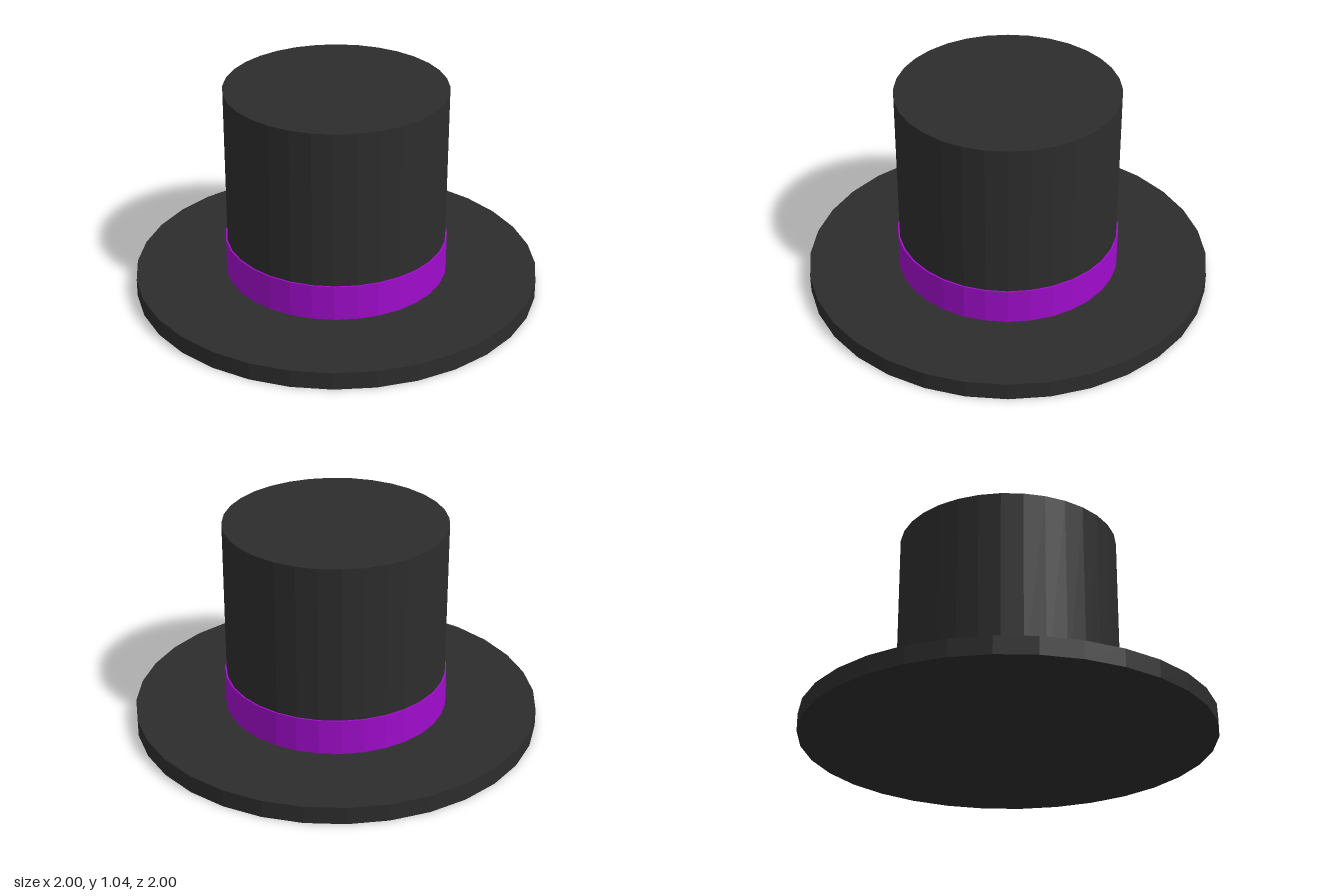
import * as THREE from 'three';

const SIDES = 32;

export function createModel() {
  const felt = new THREE.MeshStandardMaterial({ color: 0x2d2d2d, flatShading: true });
  felt.name = 'charcoal felt';
  const ribbon = new THREE.MeshStandardMaterial({ color: 0xa00ccc, flatShading: true });
  ribbon.name = 'purple ribbon';

  const hat = new THREE.Group();
  hat.name = 'topHat';

  // Upright faceted disc between two heights
  const addDisc = (name, radius, bottom, top, material) => {
    const height = top - bottom;
    const mesh = new THREE.Mesh(new THREE.CylinderGeometry(radius, radius, height, SIDES), material);
    mesh.name = name;
    mesh.position.y = bottom + height / 2;
    hat.add(mesh);
  };

  addDisc('brim', 1, 0, 0.087, felt);
  addDisc('crown', 0.543, 0.087, 1.045, felt);
  // Ribbon wrapped around the foot of the crown
  addDisc('hatBand', 0.551, 0.087, 0.265, ribbon);

  return hat;
}
